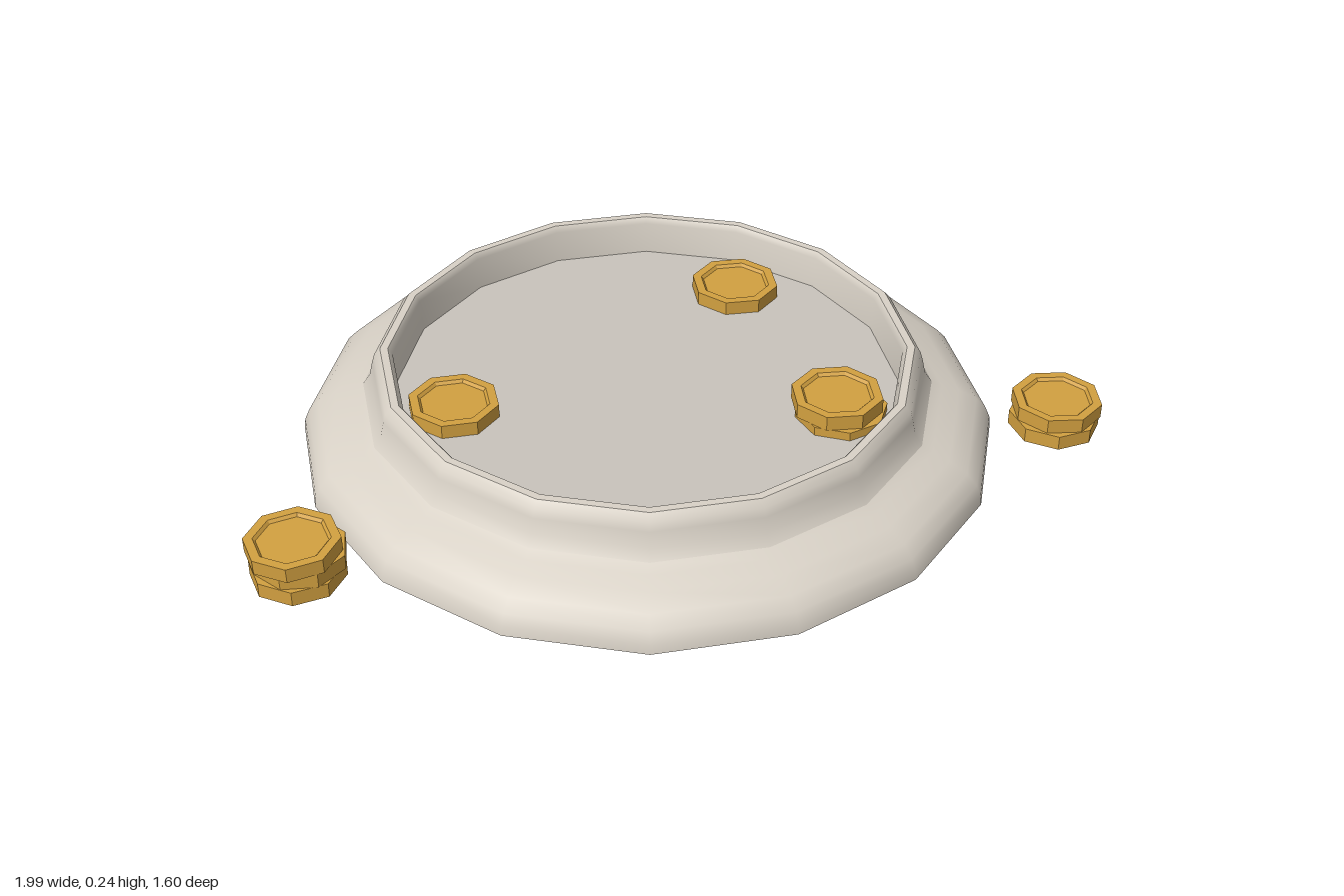
import * as THREE from 'three';

const stone = new THREE.MeshStandardMaterial({ color: 0xd9d2c7 });
stone.name = 'pale stone';
const floorGrey = new THREE.MeshStandardMaterial({ color: 0xc9c4bc });
floorGrey.name = 'basin floor grey';
const gold = new THREE.MeshStandardMaterial({ color: 0xd2a040, flatShading: true });
gold.name = 'gold';

function lathe(name, profile, sides, material) {
  const points = profile.map(([r, y]) => new THREE.Vector2(r, y));
  const mesh = new THREE.Mesh(new THREE.LatheGeometry(points, sides), material);
  mesh.name = name;
  return mesh;
}

// One octagonal coin with a raised rim on both faces
const COIN = 0.035;
function makeCoin() {
  return lathe('coin', [
    [0, 0.005], [0.078, 0.005], [0.084, 0], [0.105, 0],
    [0.105, COIN], [0.084, COIN], [0.078, COIN - 0.007], [0, COIN - 0.007],
  ], 8, gold);
}

// Each coin: [dx, dz, turn, tilt]
function makeStack(name, x, y, z, coins) {
  const stack = new THREE.Group();
  stack.name = name;
  coins.forEach(([dx, dz, turn, tilt = 0], i) => {
    const coin = makeCoin();
    coin.position.set(dx, i * COIN, dz);
    coin.rotation.set(0, turn, tilt);
    stack.add(coin);
  });
  stack.position.set(x, y, z);
  return stack;
}

export function createModel() {
  const model = new THREE.Group();
  model.name = 'coinBasin';

  // Sixteen-sided basin, split where its edges are sharp
  const basin = new THREE.Group();
  basin.name = 'basin';
  basin.add(
    lathe('underside', [[0, 0], [0.73, 0.002], [0.8, 0.018]], 16, stone),
    lathe('foot', [
      [0.8, 0.018], [0.797, 0.04], [0.786, 0.066], [0.762, 0.092],
      [0.72, 0.115], [0.68, 0.127], [0.655, 0.14],
    ], 16, stone),
    lathe('neck', [
      [0.655, 0.14], [0.638, 0.165], [0.63, 0.2], [0.624, 0.22], [0.61, 0.236],
    ], 16, stone),
    lathe('rim', [[0.61, 0.236], [0.592, 0.236]], 16, stone),
    lathe('innerWall', [[0.592, 0.236], [0.582, 0.222], [0.576, 0.145]], 16, stone),
    lathe('basinFloor', [[0.576, 0.145], [0, 0.145]], 16, floorGrey),
  );
  model.add(basin);

  // Coins lying in the basin
  const floorY = 0.143;
  model.add(
    makeStack('basinCoinBack', 0.345, floorY, -0.27, [[0, 0, 0.15]]),
    makeStack('basinCoinSide', -0.45, floorY, 0.055 - 0.11, [[0, 0, 0.2]]),
    makeStack('basinCoinsFront', 0.345, floorY - 0.012, 0.285, [[0.005, 0.006, 0.5], [-0.002, -0.004, 0.1]]),
  );

  // Stacks on the ground beside the basin
  model.add(
    makeStack('groundStackRight', -0.893, 0.008, 0.2,
      [[0, 0, 0.39], [0.008, -0.004, 0.1], [-0.006, 0.004, 0.39, 0.03]]),
    makeStack('groundStackLeft', 0.889, 0.008, 0.345,
      [[-0.004, 0.004, 0.35], [0.004, -0.004, 0.05]]),
  );
  return model;
}
